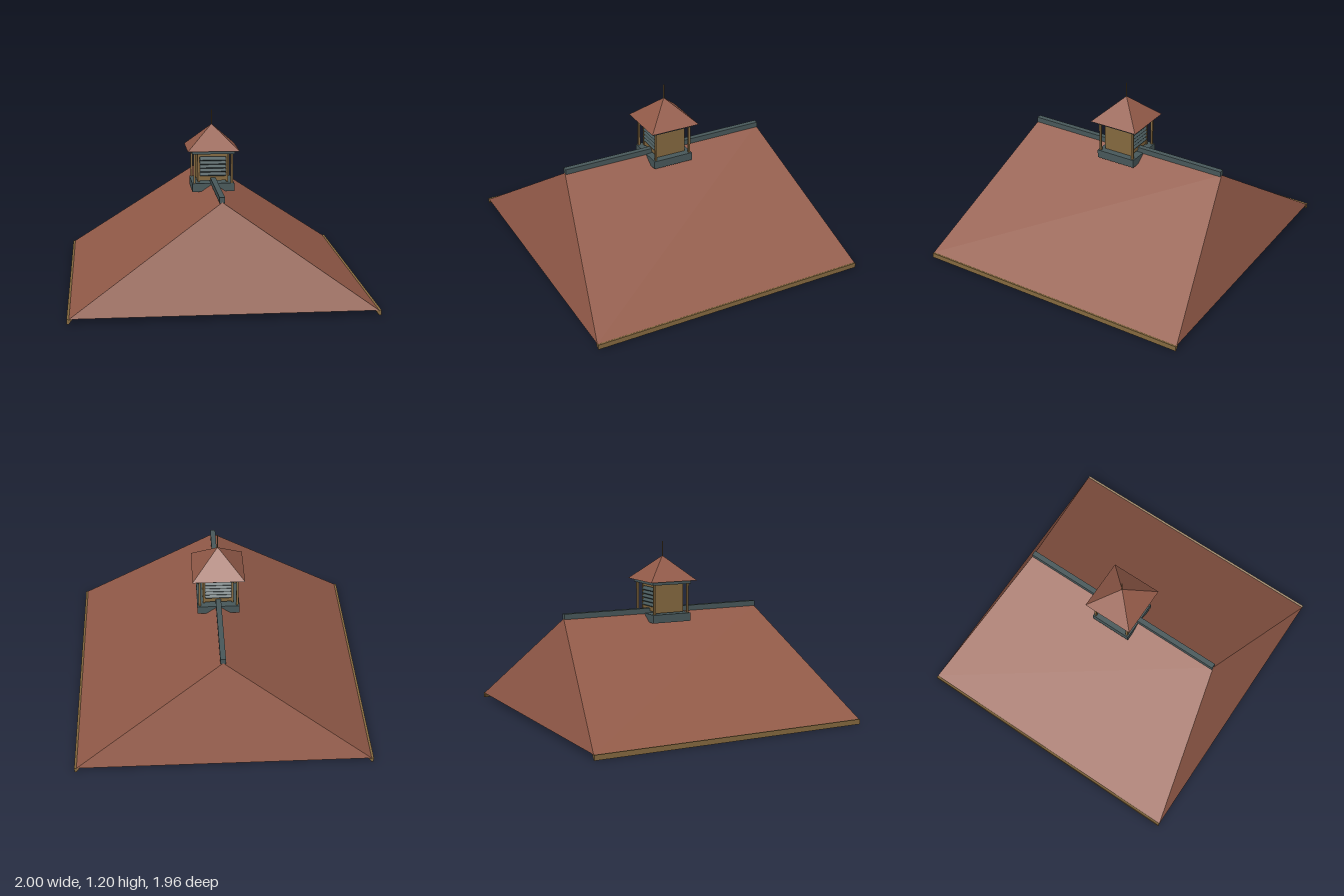
import * as THREE from 'three';

const roofRed = new THREE.MeshStandardMaterial({ color: 0x925a48, side: THREE.DoubleSide, flatShading: true });
roofRed.name = 'roofRed';
const slate = new THREE.MeshStandardMaterial({ color: 0x48585a });
slate.name = 'slate';
const wood = new THREE.MeshStandardMaterial({ color: 0x85693f });
wood.name = 'wood';

function add(parent, name, geometry, material, x = 0, y = 0, z = 0) {
  const mesh = new THREE.Mesh(geometry, material);
  mesh.name = name;
  mesh.position.set(x, y, z);
  parent.add(mesh);
  return mesh;
}

// Box given by its centre x, z and its lower and upper heights
function box(parent, name, material, w, d, y0, y1, x = 0, z = 0) {
  return add(parent, name, new THREE.BoxGeometry(w, y1 - y0, d), material, x, (y0 + y1) / 2, z);
}

// Four roof planes, open below
function hipRoof(ex, ez, eaveY, rz, ridgeY) {
  const a = [-ex, eaveY, ez], b = [ex, eaveY, ez], c = [ex, eaveY, -ez], d = [-ex, eaveY, -ez];
  const f = [0, ridgeY, rz], k = [0, ridgeY, -rz];
  const faces = [a, b, f, c, d, k, b, c, k, b, k, f, d, a, f, d, f, k];
  const geometry = new THREE.BufferGeometry();
  geometry.setAttribute('position', new THREE.Float32BufferAttribute(faces.flat(), 3));
  geometry.computeVertexNormals();
  return geometry;
}

// Eave gutter: chamfered profile swept along z
function gutter() {
  const shape = new THREE.Shape([
    [0.964, 0.032], [0.978, 0.012], [0.985, 0], [1, 0], [1, 0.035], [0.985, 0.03],
  ].map(([x, y]) => new THREE.Vector2(x, y)));
  return new THREE.ExtrudeGeometry(shape, { depth: 1.964, bevelEnabled: false }).translate(0, 0, -0.982);
}

export function createModel() {
  const model = new THREE.Group();
  model.name = 'hippedRoof';

  add(model, 'mainRoof', hipRoof(0.985, 0.982, 0.033, 0.75, 0.708), roofRed);
  box(model, 'ridgeCap', slate, 0.036, 1.5, 0.703, 0.74);
  for (const side of [1, -1]) {
    const mesh = add(model, side > 0 ? 'leftGutter' : 'rightGutter', gutter(), wood);
    if (side < 0) mesh.rotation.y = Math.PI;
  }

  const cupola = new THREE.Group();
  cupola.name = 'cupola';
  model.add(cupola);
  box(cupola, 'cupolaBase', slate, 0.29, 0.29, 0.65, 0.707);
  box(cupola, 'cupolaTopPlate', slate, 0.296, 0.296, 0.912, 0.936);

  // Corner posts
  for (const x of [-0.129, 0.129]) {
    for (const z of [-0.129, 0.129]) box(cupola, 'cornerPost', wood, 0.014, 0.014, 0.707, 0.912, x, z);
  }

  // Solid side walls, louvred front and back
  for (const s of [-1, 1]) {
    box(cupola, 'sideWall', wood, 0.014, 0.216, 0.712, 0.91, s * 0.098);
    box(cupola, 'louvreSill', wood, 0.184, 0.016, 0.72, 0.755, 0, s * 0.098);
    box(cupola, 'louvreHead', wood, 0.184, 0.016, 0.888, 0.908, 0, s * 0.098);
    for (let i = 0; i < 5; i++) {
      const slat = add(cupola, 'louvreSlat', new THREE.BoxGeometry(0.18, 0.009, 0.036), slate,
        0, 0.767 + i * 0.0265, s * 0.098);
      slat.rotation.x = s * 0.7;
    }
  }

  // Pyramid cap and finial
  const cap = new THREE.ConeGeometry(0.178 * Math.SQRT2, 0.166, 4).rotateY(Math.PI / 4);
  add(cupola, 'cupolaRoof', cap, roofRed, 0, 1.018, 0);
  add(cupola, 'finial', new THREE.CylinderGeometry(0.004, 0.004, 0.11, 8), wood, 0, 1.145, 0);

  return model;
}
